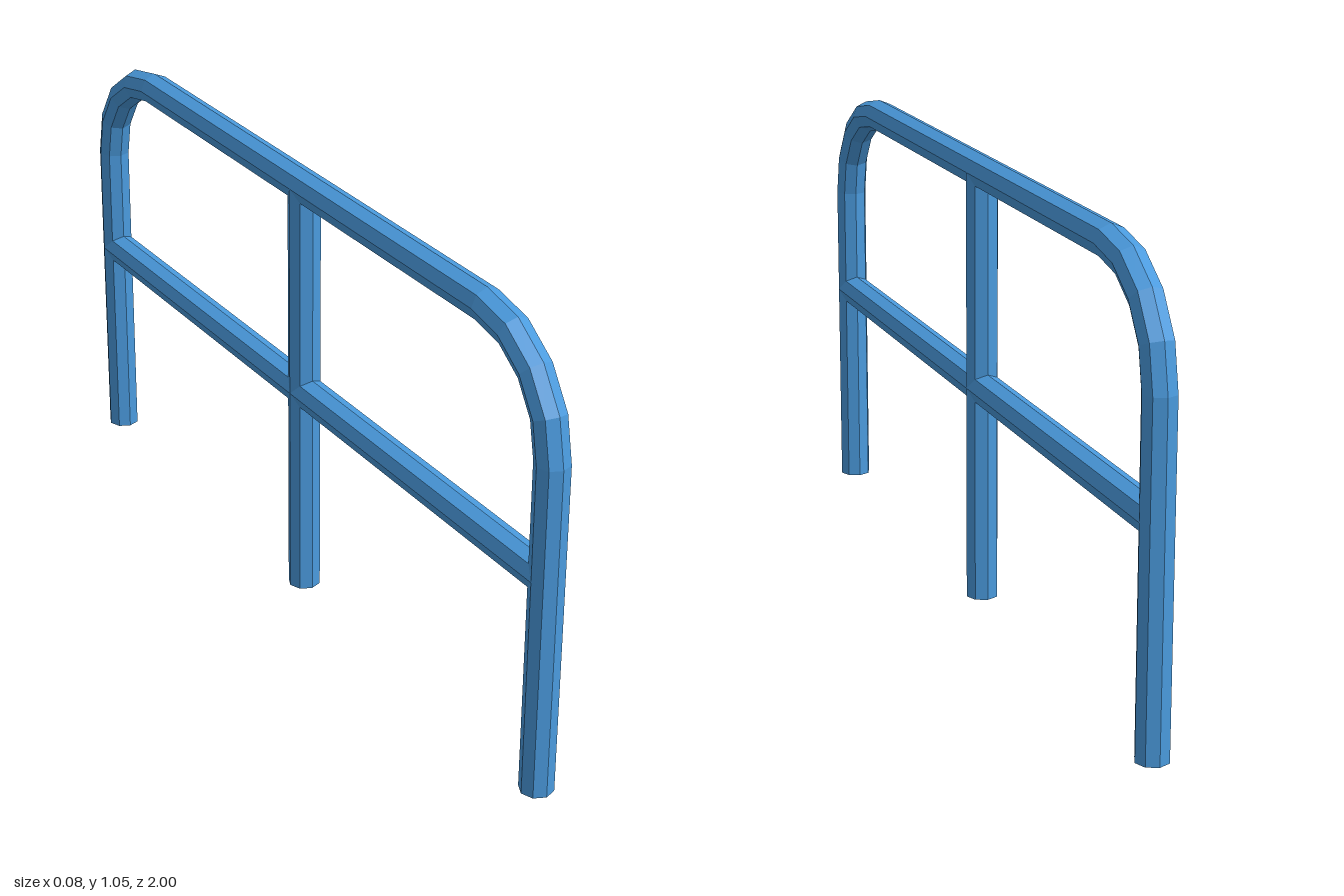
import * as THREE from 'three';

const RADIUS = 0.038, SIDES = 8;
const LEG_Z = 0.962, TOP_Y = 1.009, BEND = 0.242, RAIL_Y = 0.508;

// Open octagonal pipe in the x = 0 plane; each ring is [z, y, outward angle from +z]
function pipe(name, rings, material) {
  const positions = [], index = [];
  for (const [z, y, angle] of rings) {
    for (let j = 0; j < SIDES; j++) {
      const a = (j / SIDES) * Math.PI * 2, out = Math.sin(a) * RADIUS;
      positions.push(Math.cos(a) * RADIUS, y + Math.sin(angle) * out, z + Math.cos(angle) * out);
    }
  }
  for (let i = 0; i < rings.length - 1; i++) {
    for (let j = 0; j < SIDES; j++) {
      const k = (j + 1) % SIDES;
      const a = i * SIDES + j, b = i * SIDES + k, c = b + SIDES, d = a + SIDES;
      index.push(a, b, c, a, c, d);
    }
  }
  const indexed = new THREE.BufferGeometry();
  indexed.setAttribute('position', new THREE.Float32BufferAttribute(positions, 3));
  indexed.setIndex(index);
  const geometry = indexed.toNonIndexed();
  geometry.computeVertexNormals();
  const mesh = new THREE.Mesh(geometry, material);
  mesh.name = name;
  return mesh;
}

export function createModel() {
  const group = new THREE.Group();
  group.name = 'railing';
  const blue = new THREE.MeshStandardMaterial({ color: 0x4a9add, flatShading: true, side: THREE.DoubleSide });
  blue.name = 'blue paint';

  // Outer hoop: back leg, two quarter bends in four steps each, front leg
  const hoop = [[-LEG_Z, 0, Math.PI]];
  for (const side of [-1, 1]) {
    for (let i = 0; i <= 4; i++) {
      const angle = (side < 0 ? Math.PI : Math.PI / 2) - (i * Math.PI) / 8;
      hoop.push([
        side * (LEG_Z - BEND) + Math.cos(angle) * BEND,
        TOP_Y - BEND + Math.sin(angle) * BEND,
        angle,
      ]);
    }
  }
  hoop.push([LEG_Z, 0, 0]);
  group.add(pipe('outerHoop', hoop, blue));

  // Middle rail and centre post
  group.add(pipe('middleRail', [[-LEG_Z, RAIL_Y, Math.PI / 2], [LEG_Z, RAIL_Y, Math.PI / 2]], blue));
  group.add(pipe('centrePost', [[0, 0, Math.PI], [0, TOP_Y, Math.PI]], blue));
  return group;
}
